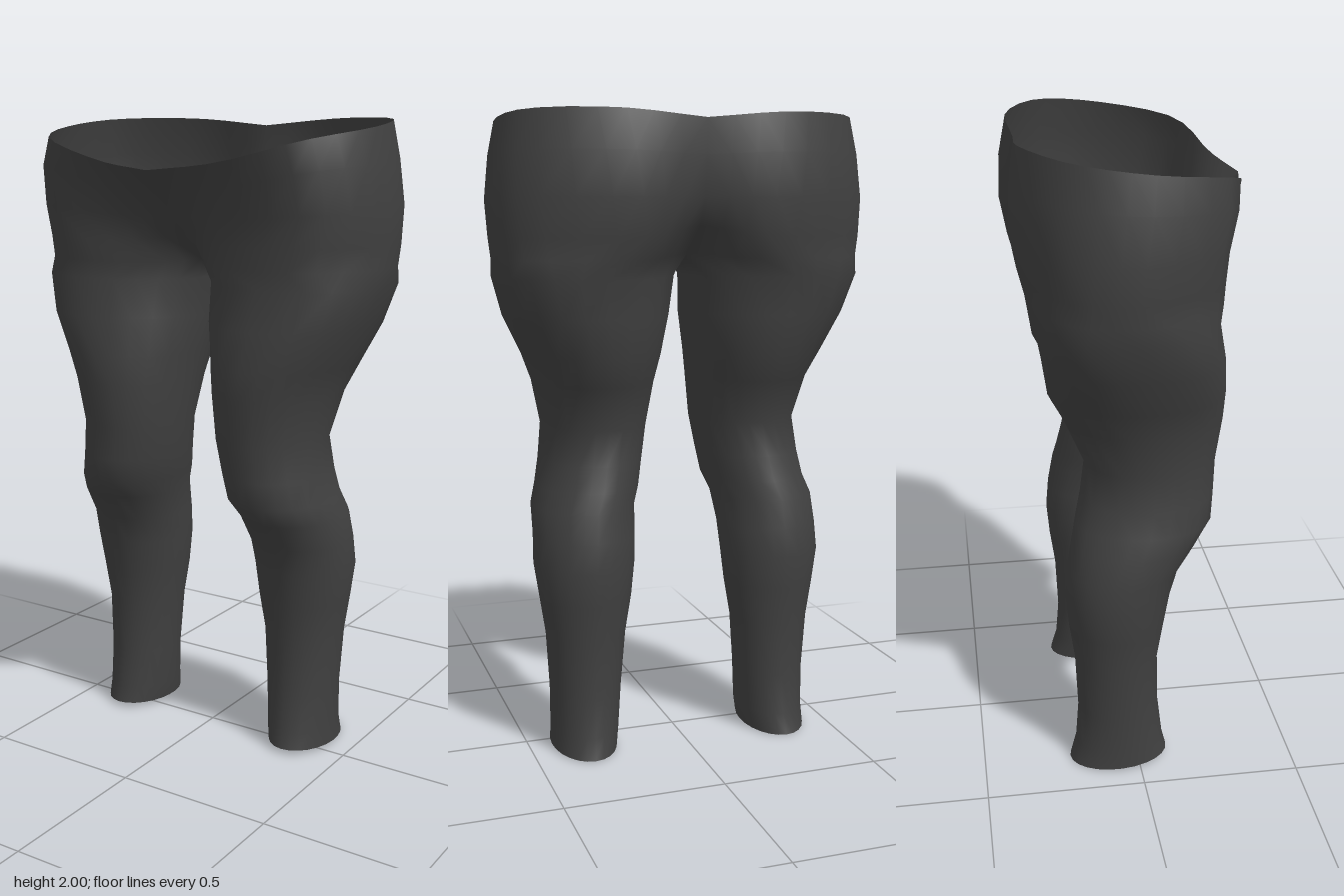
import * as THREE from 'three';
import { mergeVertices } from 'three/addons/utils/BufferGeometryUtils.js';

const OUTER = 20; // segments from front centre, round the hip, to back centre
const RING = 24;  // points in a closed leg ring

// Hip rows for one half: points [x, y, z] from front centre to back centre
const HIP_ROWS = [
  [[0, 1.85, .355], [.2, 1.872, .308], [.45, 1.935, .24], [.56, 1.972, .01], [.515, 1.995, -.19], [.27, 1.997, -.322], [0, 1.975, -.322]],
  [[0, 1.785, .285], [.2, 1.8, .268], [.475, 1.85, .238], [.583, 1.87, 0], [.525, 1.88, -.22], [.25, 1.88, -.35], [0, 1.87, -.318]],
  [[0, 1.715, .225], [.19, 1.71, .232], [.485, 1.73, .215], [.6, 1.74, -.02], [.53, 1.75, -.235], [.23, 1.75, -.357], [0, 1.75, -.307]],
  [[0, 1.65, .168], [.17, 1.635, .22], [.465, 1.635, .213], [.594, 1.63, -.03], [.52, 1.63, -.235], [.21, 1.635, -.338], [0, 1.665, -.265]],
  [[0, 1.575, .065], [.13, 1.565, .2], [.455, 1.565, .212], [.586, 1.565, -.03], [.51, 1.565, -.235], [.2, 1.565, -.312], [0, 1.58, -.145]],
];

// Leg rings: height, inner x, outer x, back z, front z
const LEG_ROWS = [
  [1.51, .02, .578, -.302, .232], [1.39, .03, .543, -.28, .257], [1.27, .052, .485, -.262, .27], [1.18, .068, .45, -.215, .268],
  [1.04, .085, .42, -.155, .25], [.93, .105, .432, -.172, .243], [.85, .12, .447, -.19, .235],
  [.79, .142, .468, -.203, .19], [.7, .15, .472, -.218, .13], [.61, .156, .476, -.225, .103],
  [.5, .168, .46, -.215, .085], [.38, .188, .442, -.198, .066], [.2, .203, .43, -.19, .07],
  [.07, .212, .428, -.2, .085], [.01, .222, .43, -.22, .098],
];

function hipRow(points) {
  const curve = new THREE.CatmullRomCurve3(points.map(p => new THREE.Vector3(...p)));
  return Array.from({ length: OUTER + 1 }, (_, j) => curve.getPoint(j / OUTER));
}

function legRing([y, inner, outer, back, front]) {
  // the outer thigh is fuller on its diagonals than an ellipse
  const fullness = .09 * THREE.MathUtils.smoothstep(y, 1.1, 1.5);
  return Array.from({ length: RING }, (_, j) => {
    const a = THREE.MathUtils.degToRad(150 - j * 360 / RING);
    const swell = Math.cos(a) > 0 ? 1 + fullness * Math.sin(2 * a) ** 2 : 1;
    return new THREE.Vector3(
      (inner + outer) / 2 + (outer - inner) / 2 * Math.cos(a) * swell,
      y < .05 ? y + .008 * Math.sin(a) : y, // ankle hem rises to the front
      (front + back) / 2 + (front - back) / 2 * Math.sin(a) * swell);
  });
}

function createSurface() {
  const rows = HIP_ROWS.map(hipRow);
  // Crotch seam closes the last hip row into the first leg ring
  const seamRow = rows[rows.length - 1];
  for (let j = OUTER + 1; j < RING; j++) {
    const t = (j - OUTER) / (RING - OUTER);
    const p = seamRow[OUTER].clone().lerp(seamRow[0], t);
    p.y -= .012 * Math.sin(Math.PI * t);
    seamRow.push(p);
  }
  rows.push(...LEG_ROWS.map(legRing));

  const positions = [];
  const triangle = (a, b, c) => {
    for (const p of [a, b, c]) positions.push(p.x, p.y, p.z);
    for (const p of [a, c, b]) positions.push(p.x === 0 ? 0 : -p.x, p.y, p.z); // mirrored half
  };
  for (let i = 0; i < rows.length - 1; i++) {
    const top = rows[i], low = rows[i + 1];
    const count = i < HIP_ROWS.length - 1 ? OUTER : RING;
    for (let j = 0; j < count; j++) {
      const k = count === RING ? (j + 1) % RING : j + 1;
      triangle(top[j], low[j], top[k]);
      triangle(top[k], low[j], low[k]);
    }
  }
  const raw = new THREE.BufferGeometry();
  raw.setAttribute('position', new THREE.Float32BufferAttribute(positions, 3));
  const geometry = mergeVertices(raw, 1e-4);
  geometry.computeVertexNormals();
  return geometry;
}

export function createModel() {
  const group = new THREE.Group();
  group.name = 'leggings';
  const fabric = new THREE.MeshStandardMaterial({ color: 0x404040, side: THREE.DoubleSide });
  fabric.name = 'dark grey fabric';
  const mesh = new THREE.Mesh(createSurface(), fabric);
  mesh.name = 'hipsAndLegs';
  group.add(mesh);
  return group;
}
